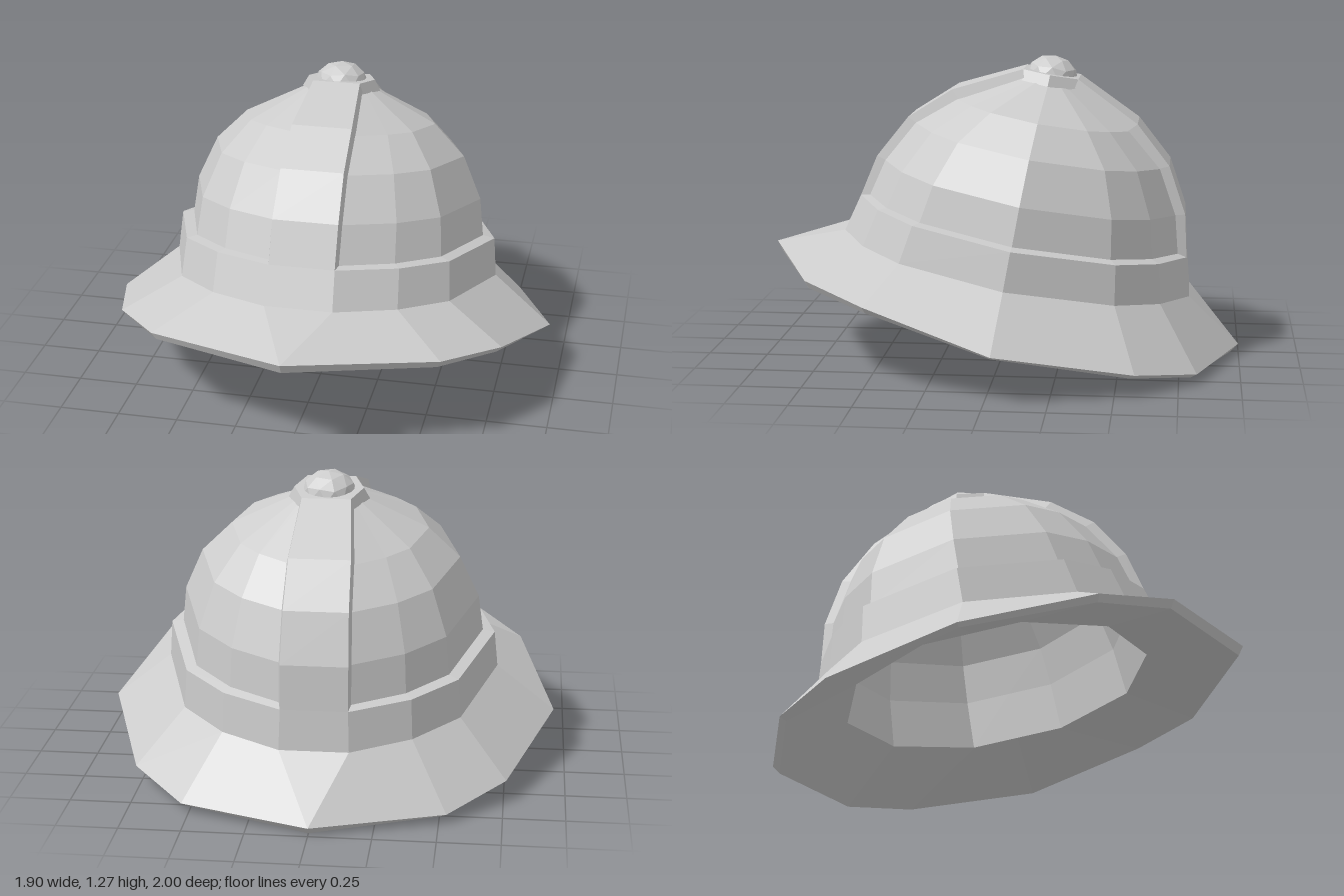
import * as THREE from 'three';

const TILT = THREE.MathUtils.degToRad(10);

// Join rows of points into a faceted skin with one normal per quad; closed rows wrap around.
function loft(name, rows, closed = true) {
  const pos = [], nor = [];
  const tri = (a, b, c, n) => {
    const area = b.clone().sub(a).cross(c.clone().sub(a)).length();
    if (area < 1e-7) return;
    for (const p of [a, b, c]) {
      pos.push(p.x, p.y, p.z);
      nor.push(n.x, n.y, n.z);
    }
  };
  for (let i = 0; i < rows.length - 1; i++) {
    const lo = rows[i], hi = rows[i + 1], n = lo.length;
    for (let j = 0; j < (closed ? n : n - 1); j++) {
      const k = (j + 1) % n;
      const normal = hi[k].clone().sub(lo[j]).cross(hi[j].clone().sub(lo[k])).normalize();
      tri(lo[j], lo[k], hi[k], normal);
      tri(lo[j], hi[k], hi[j], normal);
    }
  }
  const geo = new THREE.BufferGeometry();
  geo.setAttribute('position', new THREE.Float32BufferAttribute(pos, 3));
  geo.setAttribute('normal', new THREE.Float32BufferAttribute(nor, 3));
  return part(name, geo);
}

function part(name, geo) {
  const mesh = new THREE.Mesh(geo, new THREE.MeshStandardMaterial({ color: 0xcccccc }));
  mesh.name = name;
  return mesh;
}

const V = (x, y, z) => new THREE.Vector3(x, y, z);

// Complete a ring from its +x half, listed front to back.
const mirror = (half) => [...half, ...half.map((p) => V(-p.x, p.y, p.z)).reverse()];

// Oval ring with a flat of half-width w at the front and back.
function ring(rx, rz, y, w) {
  const a0 = Math.atan2(w, rz);
  const q = [0.28, 0.54].map((f) => {
    const a = a0 + f * (Math.PI / 2 - a0);
    return V(rx * Math.sin(a), y, rz * Math.cos(a));
  });
  const front = [V(w, y, rz), ...q];
  const back = front.map((p) => V(p.x, y, -p.z)).reverse();
  return mirror([...front, V(rx, y, 0), ...back]);
}

// Ten-sided inner ring, with a spare point midway along each side edge.
function tenSided(rx, rz, y) {
  return mirror([0, 36, 72, 90, 108, 144, 180].map((deg) => {
    const a = THREE.MathUtils.degToRad(deg);
    return V(rx * Math.min(Math.sin(a), 0.951), y, rz * Math.cos(a));
  }));
}

// Dome stations: [x radius, z radius, height, strip half-width, strip radius, strip height]
const DOME = [
  [0.64, 0.665, 0.577, 0.135, 0.70, 0.567],
  [0.62, 0.625, 0.735, 0.135, 0.66, 0.745],
  [0.54, 0.525, 0.915, 0.13, 0.558, 0.932],
  [0.41, 0.37, 1.045, 0.125, 0.395, 1.08],
  [0.13, 0.11, 1.185, 0.10, 0.117, 1.216],
];

// Brim edge, front tip to back tip: [x, y, z, thickness]
const BRIM = [
  [0, 0.269, 1.048, 0.037], [0.59, 0.267, 0.804, 0.03], [0.80, 0.26, 0.529, 0.025],
  [0.95, 0.203, -0.01, 0.012], [0.76, 0.192, -0.569, 0.02], [0.53, 0.184, -0.818, 0.02],
  [0, 0.21, -0.993, 0.038],
];

export function createModel() {
  const model = new THREE.Group();
  model.name = 'helmet';
  const body = new THREE.Group();
  body.name = 'tiltedBody';
  body.rotation.x = -TILT;
  body.position.set(0, 0.015 * Math.sin(TILT), 0.015 * Math.cos(TILT));
  model.add(body);

  const bandBottom = ring(0.705, 0.742, 0.406, 0.14);
  const bandTop = ring(0.69, 0.70, 0.567, 0.135);
  const domeRings = DOME.map(([rx, rz, y, w]) => ring(rx, rz, y, w));

  // Brim: underside, thin rim and sloping top
  const opening = tenSided(0.60, 0.65, 0.33);
  const brimTop = mirror(BRIM.map(([x, y, z]) => V(x, y, z)));
  const brimUnder = mirror(BRIM.map(([x, y, z, t]) => V(x * 0.975, y - t, z * 0.975)));
  body.add(loft('brim', [opening, brimUnder, brimTop, bandBottom]));

  // Band with the narrow ledge above it
  body.add(loft('band', [bandBottom, bandTop, domeRings[0]]));

  // Faceted dome
  body.add(loft('dome', domeRings));

  // Hollow inside, from the crown down to the opening
  const lining = [[0, 0, 1.13], [0.37, 0.34, 1.03], [0.51, 0.50, 0.9],
    [0.585, 0.59, 0.73], [0.60, 0.63, 0.55]].map((r) => tenSided(r[0], r[1], r[2]));
  body.add(loft('lining', [...lining, opening]));

  // Raised strips over the front and back of the dome
  const stripRows = DOME.map(([, rz, y, w, r, h]) => [
    V(-w - 0.01, y, rz - 0.01), V(-w, h, r), V(w, h, r), V(w + 0.01, y, rz - 0.01),
  ]);
  for (const [name, turn] of [['frontStrip', 0], ['backStrip', Math.PI]]) {
    const strip = loft(name, stripRows, false);
    strip.rotation.y = turn;
    body.add(strip);
  }

  // Six-sided raised collar on the crown
  const hex = (x, w, z, y) => mirror([V(w, y, z), V(x, y, 0), V(w, y, -z)]);
  body.add(loft('collar', [hex(0.168, 0.11, 0.115, 1.17), hex(0.143, 0.10, 0.117, 1.216),
    hex(0, 0, 0, 1.218)]));

  // Faceted button on top, one corner pointing up
  const ball = new THREE.IcosahedronGeometry(0.113, 1);
  ball.rotateZ(Math.atan(2 / (1 + Math.sqrt(5))));
  const button = part('button', ball);
  button.material.flatShading = true;
  button.scale.y = 0.8;
  button.position.y = 1.196;
  body.add(button);

  return model;
}
